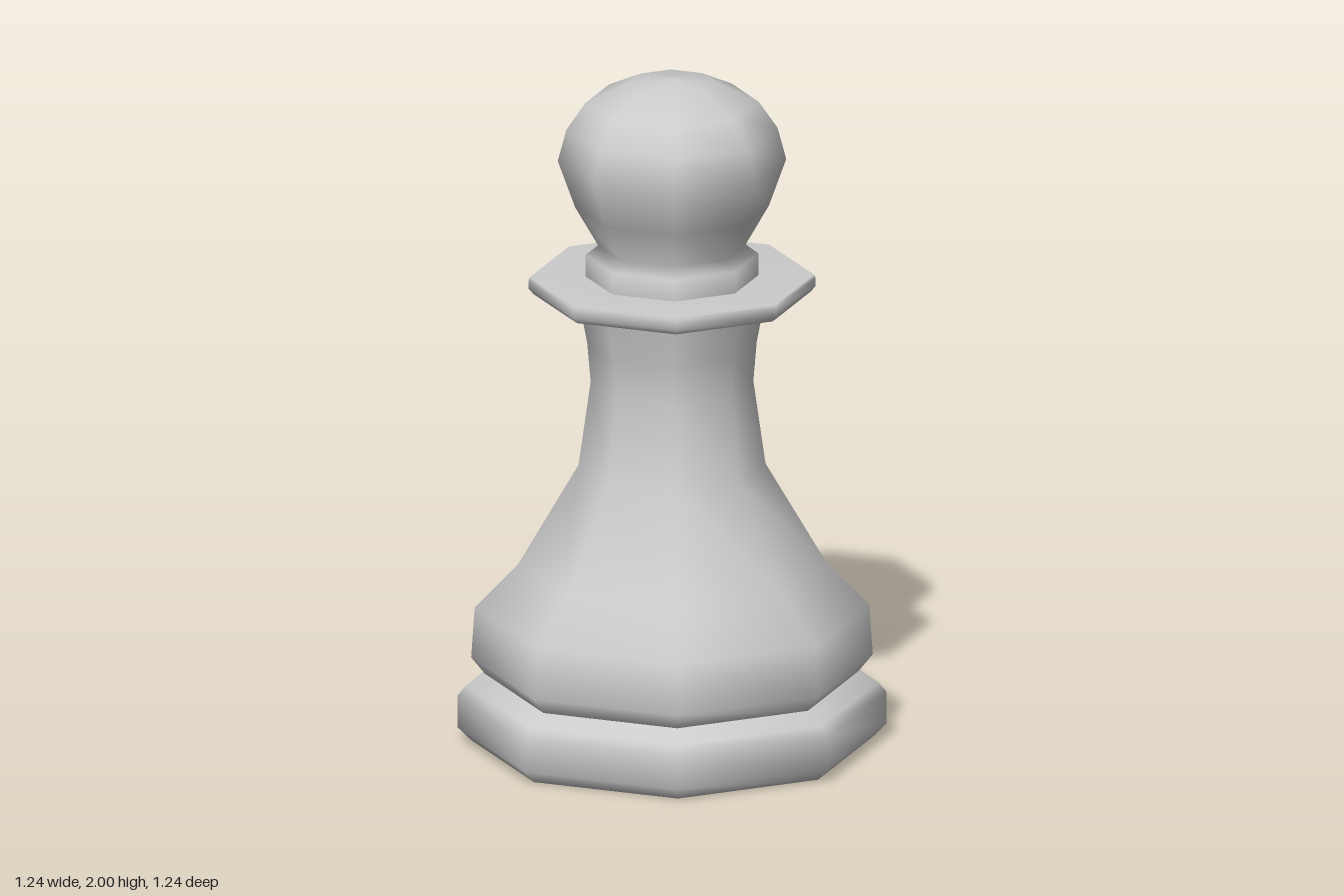
import * as THREE from 'three';

const SIDES = 8;
const material = new THREE.MeshStandardMaterial({ color: 0xcccccc });

// Eight-sided turned part from a [radius, height] profile, listed from the bottom up
function turned(name, profile) {
  const points = profile.map(([r, y]) => new THREE.Vector2(r, y));
  const mesh = new THREE.Mesh(new THREE.LatheGeometry(points, SIDES), material);
  mesh.name = name;
  return mesh;
}

export function createModel() {
  const group = new THREE.Group();
  group.name = 'pawn';

  group.add(
    // Closed foot with a bevelled rim, up to the groove
    turned('base', [[0, 0], [0.58, 0], [0.62, 0.04], [0.62, 0.135], [0.595, 0.165], [0.54, 0.2]]),

    // Wide skirt tapering into a slim waist
    turned('body', [
      [0.54, 0.2], [0.58, 0.25], [0.57, 0.4], [0.445, 0.53], [0.27, 0.83],
      [0.235, 1.08], [0.245, 1.2], [0.27, 1.33],
    ]),

    // Thin flared ring
    turned('collar', [
      [0.27, 1.33], [0.4, 1.348], [0.415, 1.365], [0.415, 1.39], [0.41, 1.4], [0.25, 1.4],
    ]),

    // Short neck band flowing into the rounded head
    turned('neckAndHead', [
      [0.25, 1.4], [0.25, 1.465], [0.213, 1.493], [0.28, 1.61], [0.33, 1.75],
      [0.305, 1.845], [0.25, 1.925], [0.125, 1.985], [0, 2],
    ]),
  );
  return group;
}
